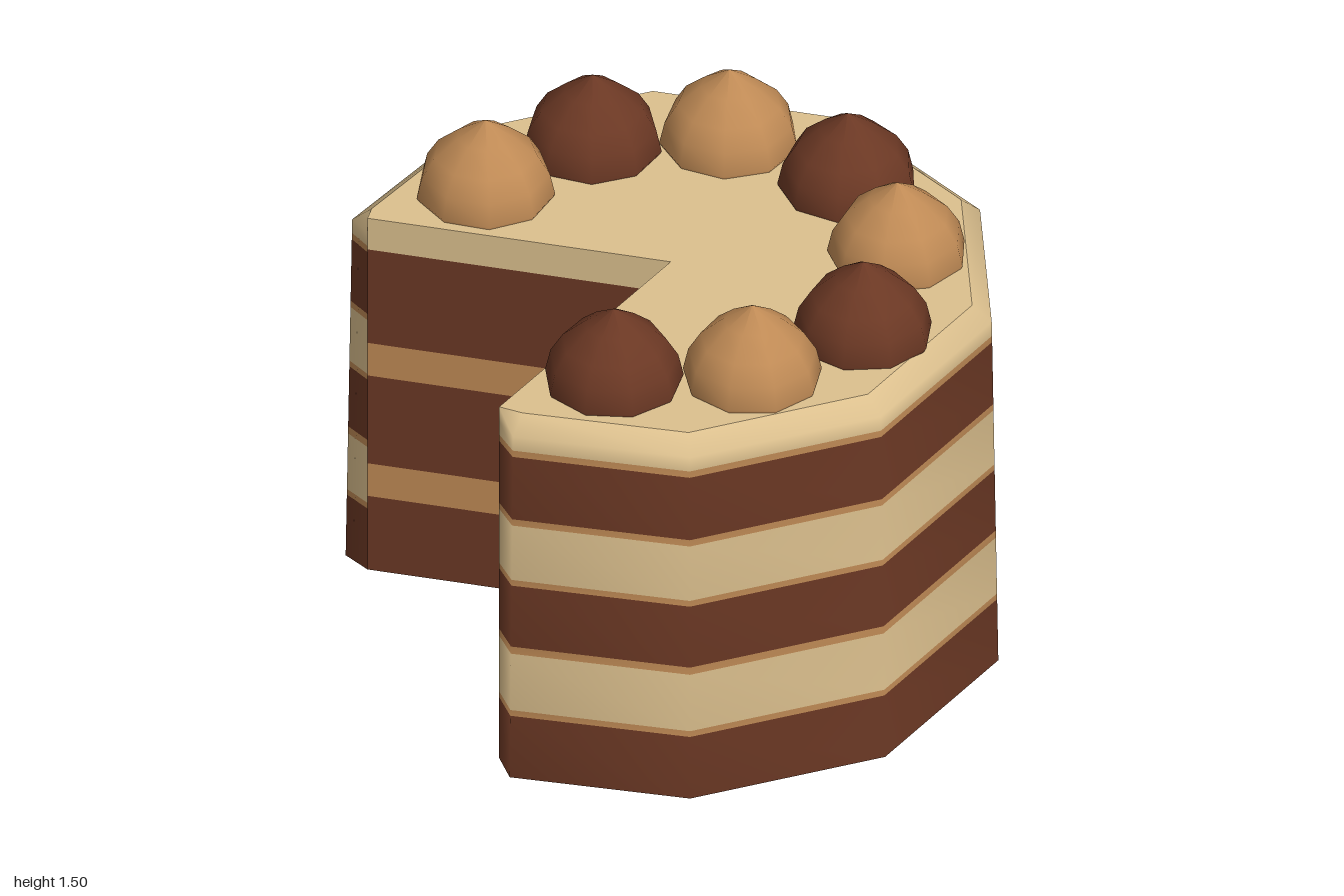
import * as THREE from 'three';

const mat = (name, color) => {
  const m = new THREE.MeshStandardMaterial({ color });
  m.name = name;
  return m;
};

export function createModel() {
  const group = new THREE.Group();
  group.name = 'cake';
  const sponge = mat('chocolate sponge', 0x6b3824);
  const cream = mat('cream', 0xdcc08e);
  const caramel = mat('caramel', 0xbf8a55);
  const mats = [sponge, caramel, cream];

  // Plan outline (x, z): cut end, around the ten-sided rim, other cut end
  const rim = [[-0.88, -0.285], [-0.94, -0.365]];
  for (let i = 9; i >= 2; i--) {
    const a = (i / 10) * Math.PI * 2 - Math.PI;
    rim.push([Math.sin(a + Math.PI) , -Math.cos(a + Math.PI)]);
  }
  // Rim runs from back left, over the back and the left side, to the front
  rim.splice(2, 8, ...[-1, 0, 1, 2, 3, 4, 5].map((k) => {
    const a = (k * Math.PI) / 5;
    return [Math.sin(a), -Math.cos(a)];
  }));
  rim.push([-0.525, 0.855], [-0.55, 0.75]);

  const TOP = 1.24, SHOULDER = 1.19;
  const scaleAt = (y) => (y <= SHOULDER
    ? 1 - 0.02 * (y / SHOULDER)
    : 0.98 - 0.06 * ((y - SHOULDER) / (TOP - SHOULDER)));
  // The cut ends stay vertical while the rim tapers
  const ringAt = (y) => rim.map(([x, z], i) => {
    const s = i === 0 || i === rim.length - 1 ? 1 : scaleAt(y);
    return [x * s, y, z * s];
  });

  const addMesh = (name, pos, idx, material, groups = []) => {
    const g = new THREE.BufferGeometry();
    g.setAttribute('position', new THREE.Float32BufferAttribute(pos, 3));
    g.setIndex(idx);
    groups.forEach((r) => g.addGroup(...r));
    g.computeVertexNormals();
    const m = new THREE.Mesh(g, material);
    m.name = name;
    group.add(m);
  };

  // Stack of rows, one material index for each band between levels
  const addWall = (name, rows, bands) => {
    const n = rows[0].length, idx = [], groups = [];
    bands.forEach((band, r) => {
      groups.push([idx.length, (n - 1) * 6, band]);
      for (let i = 0; i < n - 1; i++) {
        const a = r * n + i, b = a + 1, c = a + n, d = c + 1;
        idx.push(a, c, d, a, d, b);
      }
    });
    addMesh(name, rows.flat(2), idx, mats, groups);
  };

  // Outer wall with thin caramel lines and a bevelled cream shoulder
  const levels = [0, 0.215, 0.235, 0.432, 0.457, 0.67, 0.69, 0.88, 0.902, 1.12, 1.142, SHOULDER, TOP];
  addWall('outerWall', levels.map(ringAt), [0, 1, 2, 1, 0, 1, 2, 1, 0, 1, 2, 2]);

  // Two cut faces showing the layers inside
  const cutLevels = [0, 0.26, 0.375, 0.685, 0.8, 1.13, TOP];
  const cutBands = [0, 1, 0, 1, 0, 2];
  const first = rim[0], last = rim[rim.length - 1];
  const cut = (name, p, q) => addWall(name,
    cutLevels.map((y) => [[p[0], y, p[1]], [q[0], y, q[1]]]), cutBands);
  cut('rightCutFace', last, [0, 0]);
  cut('backCutFace', [0, 0], first);

  // Top and bottom as fans around the centre
  const fan = (name, y, up, material) => {
    const idx = [];
    for (let i = 1; i < rim.length; i++) idx.push(0, up ? i + 1 : i, up ? i : i + 1);
    addMesh(name, [0, y, 0, ...ringAt(y).flat()], idx, material);
  };
  fan('topIcing', TOP, true, cream);
  fan('underside', 0, false, sponge);

  // Pointed dollops in alternating colours
  const profile = [[0.195, 1.225], [0.208, 1.25], [0.192, 1.32], [0.155, 1.38], [0.085, 1.44], [0, 1.495]]
    .map(([r, y]) => new THREE.Vector2(r, y));
  const dollop = new THREE.LatheGeometry(profile, 9);
  [[-0.525, -0.405], [-0.195, -0.63], [0.21, -0.635], [0.545, -0.38],
    [0.67, 0], [0.545, 0.42], [0.205, 0.635], [-0.205, 0.63]].forEach(([x, z], i) => {
    const m = new THREE.Mesh(dollop, i % 2 ? sponge : caramel);
    m.position.set(x, 0, z);
    m.rotation.y = i * 0.63;
    m.name = i % 2 ? 'chocolateDollop' : 'caramelDollop';
    group.add(m);
  });
  return group;
}
